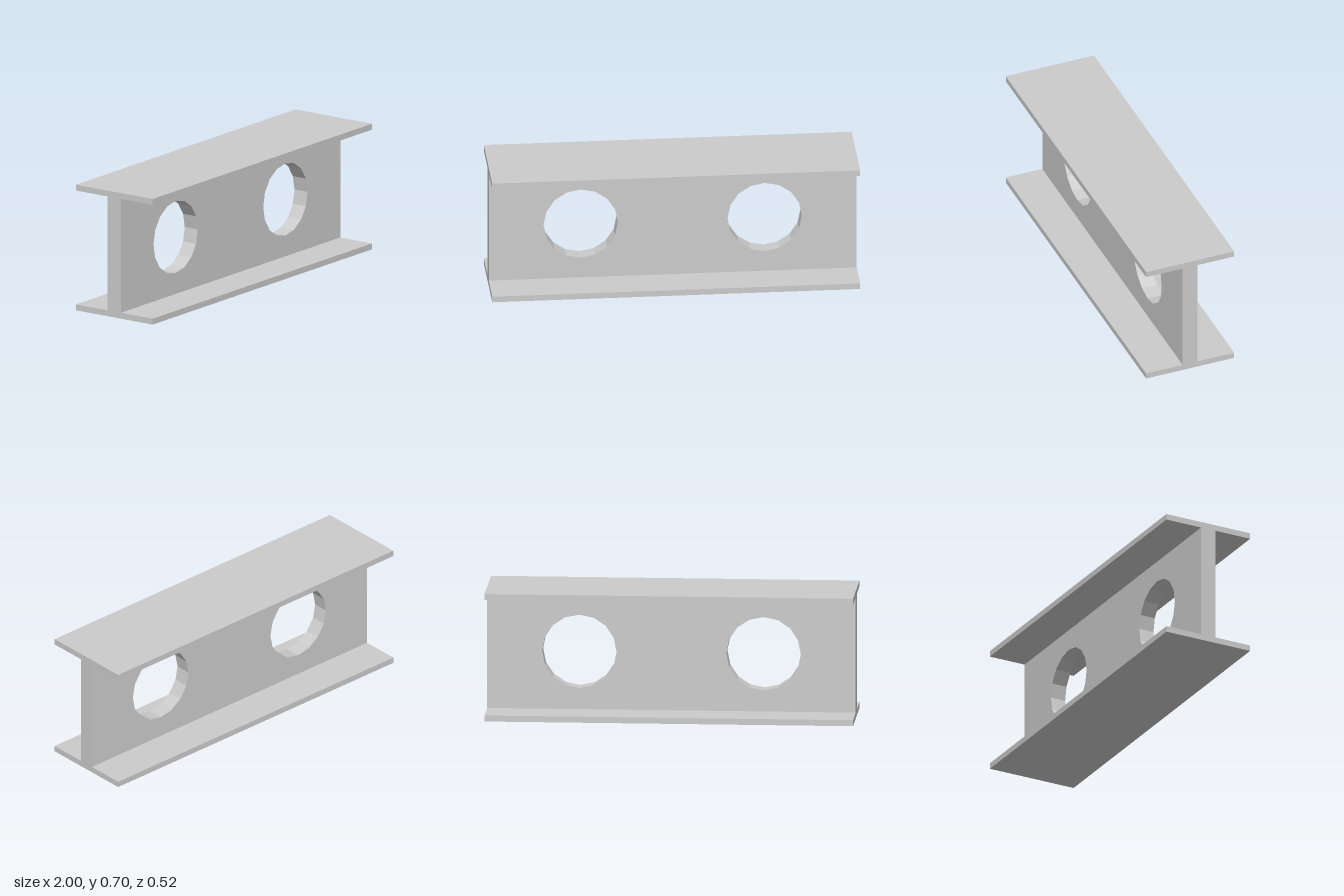
import * as THREE from 'three';

const LENGTH = 2, HEIGHT = 0.703, DEPTH = 0.516;
const FLANGE = 0.033, WEB = 0.088;
const HOLE_RADIUS = 0.202, HOLE_SIDES = 16;

export function createModel() {
  const group = new THREE.Group();
  group.name = 'beam';
  const material = new THREE.MeshStandardMaterial({ color: 0xcccccc, flatShading: true });

  const add = (name, geometry, y, z = 0) => {
    const mesh = new THREE.Mesh(geometry, material);
    mesh.name = name;
    mesh.position.set(0, y, z);
    group.add(mesh);
  };

  // Top and bottom flanges
  const flange = new THREE.BoxGeometry(LENGTH, FLANGE, DEPTH);
  add('bottomFlange', flange, FLANGE / 2);
  add('topFlange', flange, HEIGHT - FLANGE / 2);

  // Upright web, pierced by two sixteen-sided holes
  const w = LENGTH / 2, h = HEIGHT / 2 - FLANGE;
  const outline = new THREE.Shape([
    new THREE.Vector2(-w, -h), new THREE.Vector2(w, -h),
    new THREE.Vector2(w, h), new THREE.Vector2(-w, h),
  ]);
  for (const x of [-0.5, 0.5]) {
    const points = [];
    for (let i = 0; i < HOLE_SIDES; i++) {
      const a = -(i / HOLE_SIDES) * Math.PI * 2;
      points.push(new THREE.Vector2(x + HOLE_RADIUS * Math.cos(a), HOLE_RADIUS * Math.sin(a)));
    }
    outline.holes.push(new THREE.Path(points));
  }
  const web = new THREE.ExtrudeGeometry(outline, { depth: WEB, bevelEnabled: false });
  add('web', web, HEIGHT / 2, -WEB / 2);

  return group;
}
